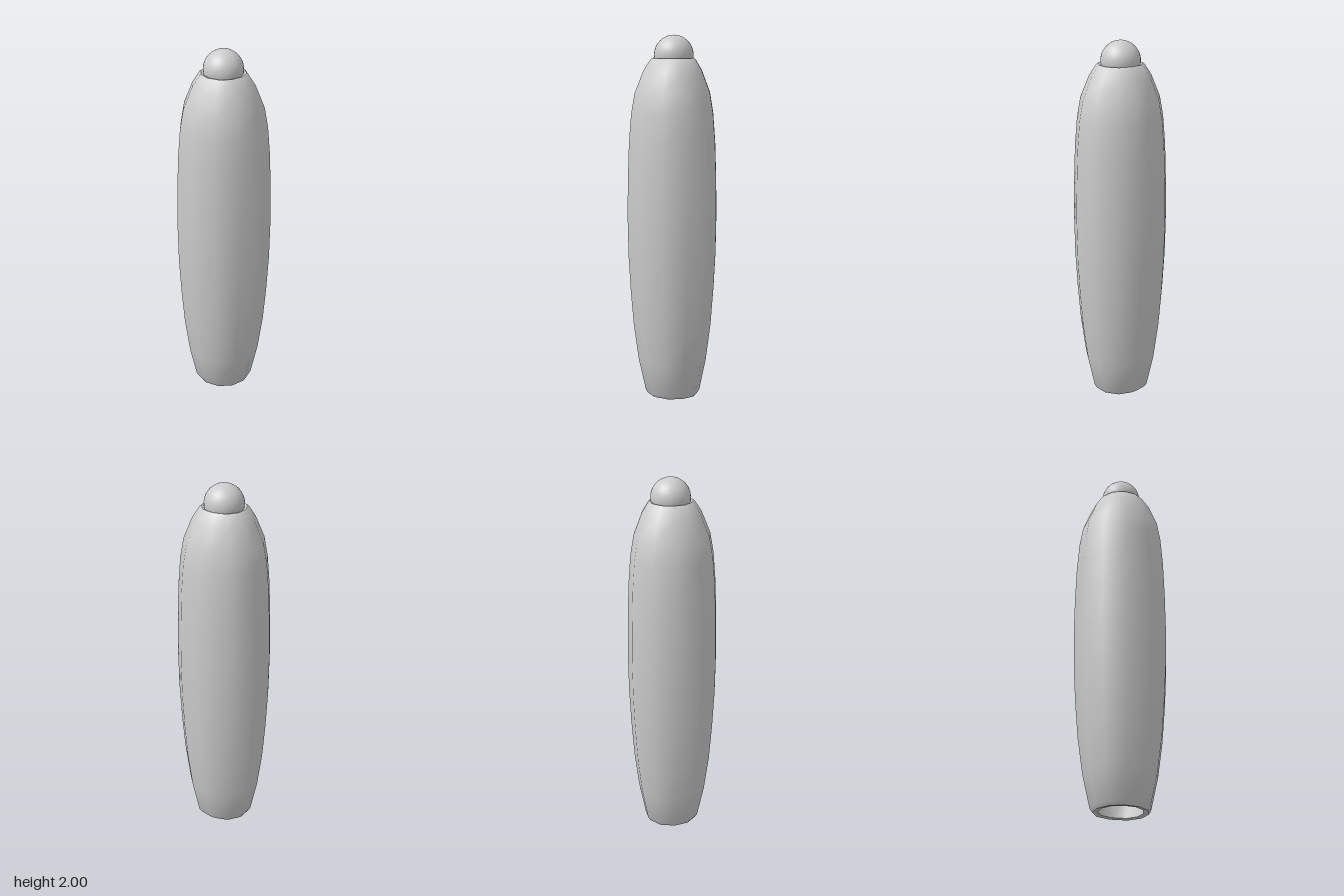
import * as THREE from 'three';
import { toCreasedNormals } from 'three/addons/utils/BufferGeometryUtils.js';

const CENTRE_Z = -0.01;

// right half of the slightly uneven twelve-sided section, front to back, as (x, z)
const half = [[0.07, 0.25], [0.19, 0.18], [0.255, 0.05], [0.245, -0.09], [0.157, -0.2], [0.03, -0.235]];
const section = [...half, ...half.slice().reverse().map(([x, z]) => [-x, z])];

// closed wall profile as (half width, height): outside upwards, then inside downwards
const profile = [
  [0.145, 0], [0.158, 0.02], [0.197, 0.2], [0.224, 0.4], [0.24, 0.6], [0.251, 0.8], [0.255, 1.02],
  [0.252, 1.22], [0.245, 1.42], [0.232, 1.58], [0.213, 1.69], [0.165, 1.81], [0.127, 1.87], [0.119, 1.876],
  [0.1, 1.87], [0.14, 1.79], [0.185, 1.68], [0.22, 1.4], [0.228, 1.02], [0.213, 0.6], [0.17, 0.2], [0.118, 0.004],
];

function wallGeometry() {
  const positions = [], index = [];
  const n = section.length, m = profile.length;
  for (const [r, y] of profile) {
    for (const [x, z] of section) positions.push(x * r / 0.255, y, z * r / 0.255 + CENTRE_Z);
  }
  for (let i = 0; i < m; i++) {
    for (let j = 0; j < n; j++) {
      const a = i * n + j, b = i * n + (j + 1) % n;
      const c = ((i + 1) % m) * n + j, d = ((i + 1) % m) * n + (j + 1) % n;
      index.push(a, b, d, a, d, c);
    }
  }
  const geometry = new THREE.BufferGeometry();
  geometry.setAttribute('position', new THREE.Float32BufferAttribute(positions, 3));
  geometry.setIndex(index);
  return toCreasedNormals(geometry, 0.85);
}

export function createModel() {
  const group = new THREE.Group();
  const material = new THREE.MeshStandardMaterial({ color: 0xcccccc });

  // hollow tapered body, open at the bottom
  const body = new THREE.Mesh(wallGeometry(), material);
  body.name = 'body';

  // ball seated in the top opening
  const ball = new THREE.Mesh(new THREE.SphereGeometry(0.107, 32, 24), material);
  ball.name = 'topBall';
  ball.position.set(0, 1.893, CENTRE_Z);

  group.add(body, ball);
  return group;
}
